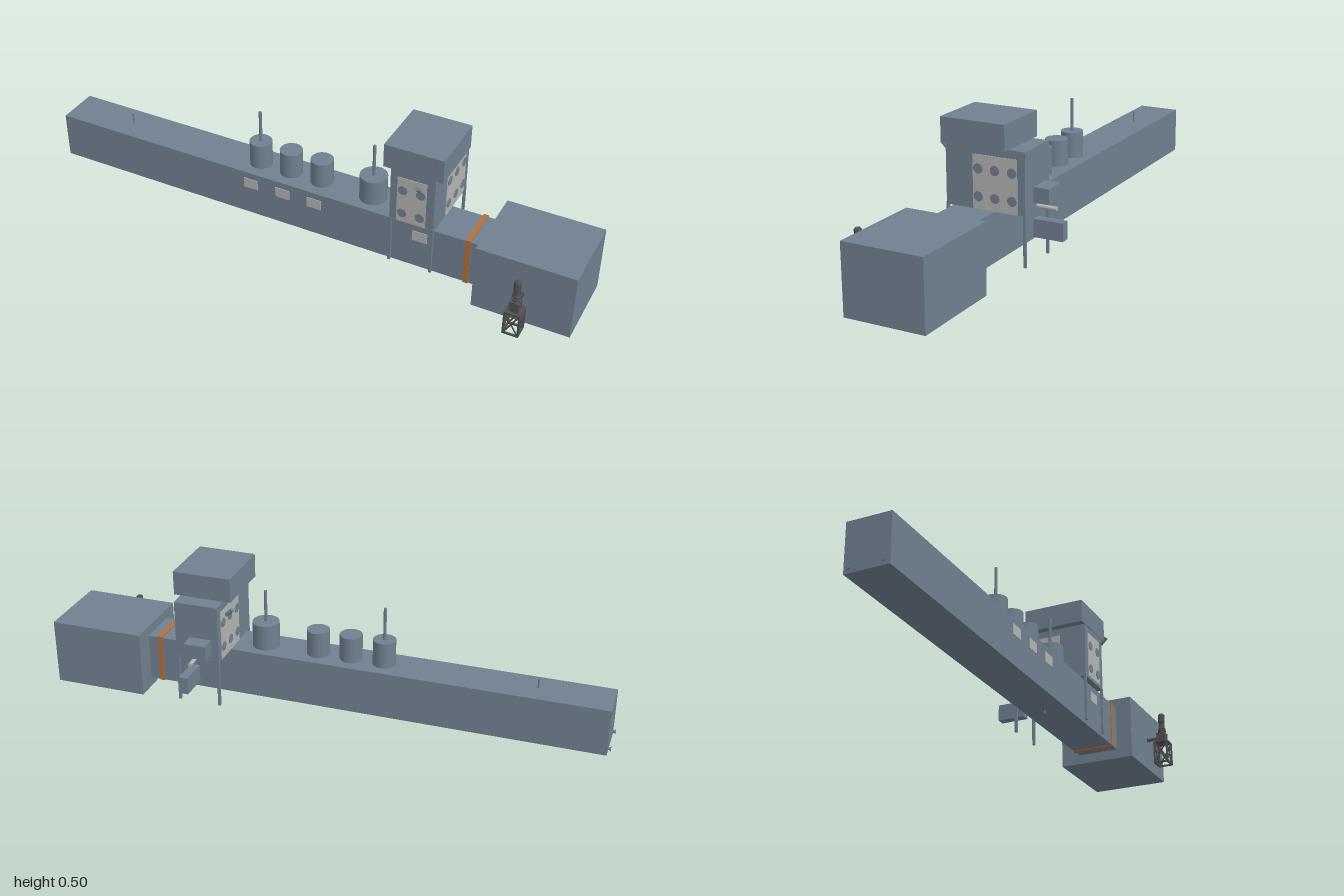
import * as THREE from 'three';

const mat = (color) => new THREE.MeshStandardMaterial({ color });
const steel = mat(0x708090), plateMat = mat(0xb3b3b0), copper = mat(0xb0703a), dark = mat(0x505050);

export function createModel() {
  const root = new THREE.Group();

  const add = (name, geo, m, x, y, z, parent = root) => {
    const mesh = new THREE.Mesh(geo, m);
    mesh.name = name;
    mesh.position.set(x, y, z);
    parent.add(mesh);
    return mesh;
  };
  // box given by its limits on each axis
  const box = (name, m, x0, x1, y0, y1, z0, z1, parent) =>
    add(name, new THREE.BoxGeometry(x1 - x0, y1 - y0, z1 - z0), m,
      (x0 + x1) / 2, (y0 + y1) / 2, (z0 + z1) / 2, parent);
  // cylinder between two points
  const rod = (name, m, a, b, r, parent, sides = 24) => {
    const p = new THREE.Vector3(...a), q = new THREE.Vector3(...b);
    const d = q.clone().sub(p), c = p.clone().add(q).multiplyScalar(0.5);
    const mesh = add(name, new THREE.CylinderGeometry(r, r, d.length(), sides), m, c.x, c.y, c.z, parent);
    mesh.quaternion.setFromUnitVectors(new THREE.Vector3(0, 1, 0), d.normalize());
    return mesh;
  };

  // long duct, seam collar and end chamber
  box('duct', steel, -0.99, 0.66, 0.035, 0.204, -0.041, 0.112);
  box('collar', copper, 0.605, 0.623, 0.033, 0.209, -0.044, 0.115);
  box('endChamber', steel, 0.66, 1, 0, 0.238, -0.113, 0.172);

  // drums on the roof, some with a stack
  for (const [x, r, stack] of [[-0.2, 0.04, 1], [-0.08, 0.04, 0], [0.04, 0.04, 0], [0.235, 0.048, 1]]) {
    rod('drum', steel, [x, 0.2, 0.035], [x, 0.297, 0.035], r, root, 40);
    if (stack) rod('stack', steel, [x, 0.29, 0.035], [x, 0.415, 0.035], 0.0055);
  }

  // access plates along the front
  for (const x of [-0.2, -0.075, 0.048, 0.443])
    box('accessPlate', plateMat, x - 0.027, x + 0.027, 0.142, 0.18, 0.11, 0.1145);

  // small fittings
  rod('probe', steel, [-0.737, 0.2, 0.035], [-0.737, 0.245, 0.035], 0.003);
  rod('probeArm', steel, [-0.744, 0.238, 0.035], [-0.737, 0.238, 0.035], 0.002);
  rod('nozzle', steel, [-0.697, 0.2, 0.1], [-0.697, 0.209, 0.1], 0.003);
  rod('drain', steel, [0.18, 0.022, 0.035], [0.18, 0.037, 0.035], 0.003);
  for (const z of [-0.022, 0.092]) {
    rod('endStub', steel, [-1, 0.052, z], [-0.988, 0.052, z], 0.005);
    rod('endStubFlange', steel, [-1, 0.052, z], [-0.997, 0.052, z], 0.008);
  }

  // tower with cap
  const tower = new THREE.Group();
  tower.name = 'tower';
  root.add(tower);
  box('towerBody', steel, 0.337, 0.495, 0.21, 0.417, -0.157, 0.128, tower);
  box('towerCap', steel, 0.31, 0.52, 0.417, 0.503, -0.1, 0.13, tower);
  for (const x of [0.341, 0.491])
    for (const z of [-0.154, 0.125])
      box('towerLeg', steel, x - 0.0045, x + 0.0045, 0.04, 0.212, z - 0.0045, z + 0.0045, tower);
  for (const z of [-0.154, 0.125])
    box('towerRail', steel, 0.337, 0.495, 0.208, 0.217, z - 0.0045, z + 0.0045, tower);

  // window panels with round ports on three sides
  const rows = [0.253, 0.344];
  box('frontPanel', plateMat, 0.362, 0.466, 0.219, 0.393, 0.126, 0.13, tower);
  for (const y of rows) {
    for (const x of [0.382, 0.446])
      rod('frontPort', steel, [x, y, 0.127], [x, y, 0.132], 0.0165, tower, 32);
  }
  for (const [x, s] of [[0.495, 1], [0.337, -1]]) {
    box('sidePanel', plateMat, x - 0.002, x + 0.002, 0.21, 0.39, -0.13, 0.029, tower);
    for (const y of rows)
      for (const z of [0.009, -0.051, -0.112])
        rod('sidePort', steel, [x, y, z], [x + s * 0.004, y, z], 0.0165, tower, 32);
  }

  // boxes and pipe on the tower back
  box('controlBox', steel, 0.362, 0.442, 0.241, 0.292, -0.212, -0.155, tower);
  box('driveBox', steel, 0.41, 0.442, 0.127, 0.188, -0.261, -0.157, tower);
  rod('outletPipe', plateMat, [0.415, 0.223, -0.15], [0.415, 0.223, -0.226], 0.007, tower);

  // tilted sensors at the front and on the right side
  rod('sensor', steel, [0.446, 0.397, 0.168], [0.446, 0.374, 0.145], 0.007, tower);
  rod('sensor', steel, [0.297, 0.4, -0.115], [0.32, 0.377, -0.115], 0.007, tower);

  // pump unit: braced stand, gearbox, motor and ribbed pipe
  const pump = new THREE.Group();
  pump.name = 'pump';
  pump.position.set(0.829, 0, 0.234);
  root.add(pump);
  const h = 0.025, y0 = 0.012, y1 = 0.096;
  for (let i = 0; i < 4; i++) {
    const side = new THREE.Group();
    side.name = 'standSide';
    side.rotation.y = i * Math.PI / 2;
    pump.add(side);
    box('standPost', dark, h - 0.003, h + 0.003, y0 - 0.002, y1, h - 0.003, h + 0.003, side);
    for (const y of [y0 + 0.001, y1])
      box('standRail', dark, -h, h, y - 0.003, y + 0.003, h - 0.003, h + 0.003, side);
    for (const s of [-1, 1])
      rod('standBrace', dark, [-s * h, y0, h], [s * h, y1, h], 0.003, side, 4);
  }
  box('standTop', dark, -h, h, y1 - 0.002, y1 + 0.003, -h, h, pump);
  box('gearbox', dark, -0.016, 0.016, 0.098, 0.135, -0.018, 0.016, pump);
  const profile = [[0, 0.133], [0.01, 0.133], [0.01, 0.143], [0.015, 0.143], [0.015, 0.148], [0.011, 0.148],
    [0.011, 0.153], [0.0135, 0.153], [0.0135, 0.157], [0.0105, 0.16], [0.0105, 0.178], [0.0125, 0.18],
    [0.0125, 0.21], [0.009, 0.215], [0, 0.217]].map(([r, y]) => new THREE.Vector2(r, y));
  const motorMat = mat(0x505050);
  motorMat.flatShading = true;
  add('motor', new THREE.LatheGeometry(profile, 24), motorMat, 0, 0, 0, pump);
  rod('feedPipe', dark, [0, 0.117, -0.015], [0, 0.117, -0.064], 0.004, pump);
  for (let i = 0; i < 5; i++) {
    const z = -0.024 - i * 0.0085;
    rod('pipeFlange', dark, [0, 0.117, z], [0, 0.117, z - 0.003], 0.0072, pump);
  }
  return root;
}
